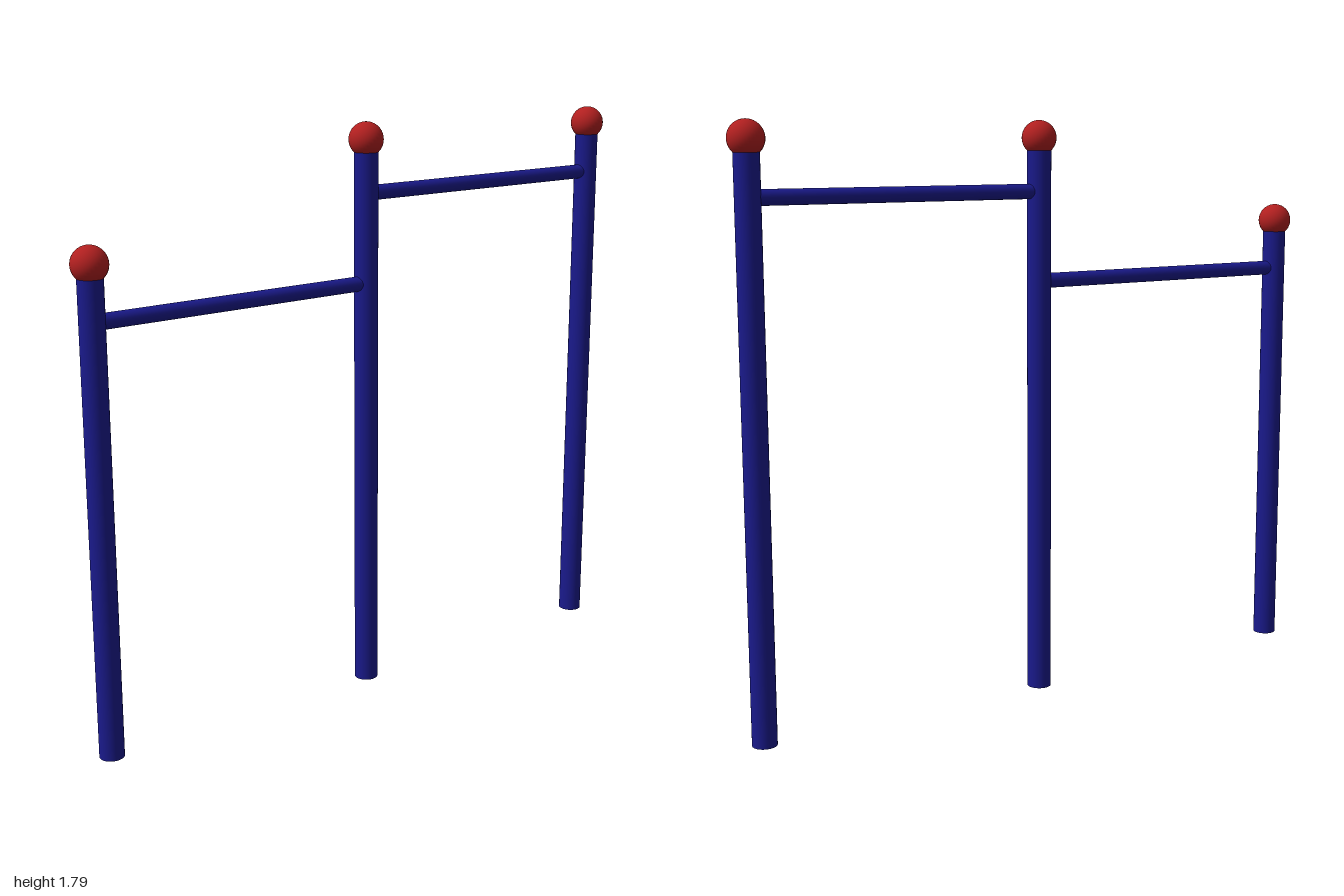
import * as THREE from 'three';

const POST_R = 0.037, BAR_R = 0.023, BALL_R = 0.053;

export function createModel() {
  const group = new THREE.Group();
  const blue = new THREE.MeshStandardMaterial({ color: 0x1a1a8c });
  const red = new THREE.MeshStandardMaterial({ color: 0xb22020 });

  const add = (name, geometry, material, y, z) => {
    const mesh = new THREE.Mesh(geometry, material);
    mesh.name = name;
    mesh.position.set(0, y, z);
    group.add(mesh);
    return mesh;
  };

  // Upright posts, each capped with a ball
  const posts = [
    { name: 'front', z: 0.947, bottom: 0.017, ball: 1.463 },
    { name: 'middle', z: 0, bottom: 0, ball: 1.738 },
    { name: 'back', z: -0.947, bottom: 0, ball: 1.738 },
  ];
  for (const { name, z, bottom, ball } of posts) {
    const height = ball - 0.02 - bottom;
    add(name + 'Post', new THREE.CylinderGeometry(POST_R, POST_R, height, 32), blue, bottom + height / 2, z);
    add(name + 'Ball', new THREE.SphereGeometry(BALL_R, 32, 20), red, ball, z);
  }

  // Horizontal bars spanning neighbouring posts
  const bars = [
    { name: 'lowBar', y: 1.303, z: 0.4735 },
    { name: 'highBar', y: 1.577, z: -0.4735 },
  ];
  for (const { name, y, z } of bars) {
    const bar = add(name, new THREE.CylinderGeometry(BAR_R, BAR_R, 0.9, 24), blue, y, z);
    bar.rotation.x = Math.PI / 2;
  }
  return group;
}
